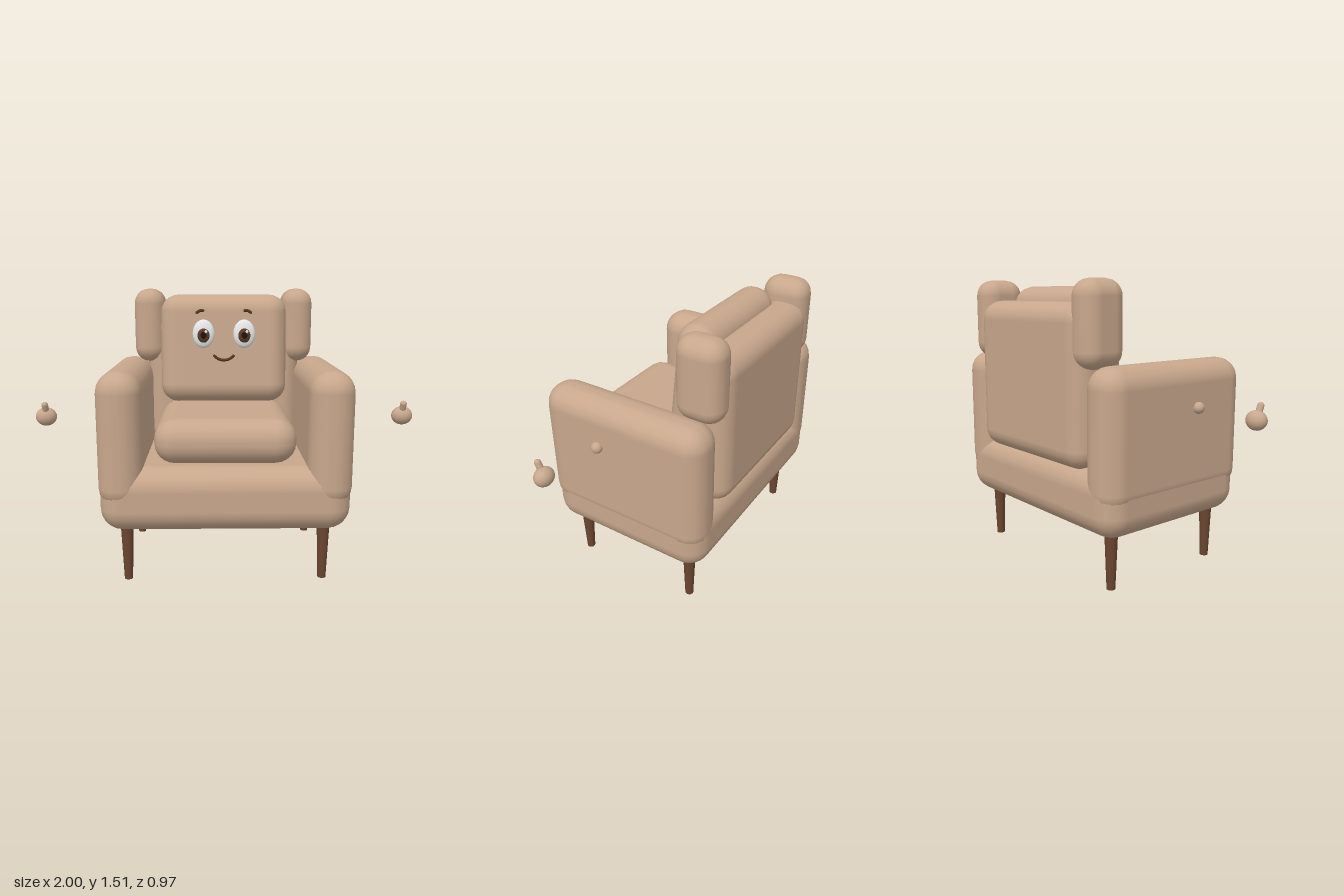
import * as THREE from 'three';
import { RoundedBoxGeometry } from 'three/addons/geometries/RoundedBoxGeometry.js';

function material(name, color) {
  const m = new THREE.MeshStandardMaterial({ color });
  m.name = name;
  return m;
}

export function createModel() {
  const fabric = material('tan fabric', 0xc8a78c);
  const wood = material('brown wood', 0x6b4630);
  const white = material('eye white', 0xe8ecec);
  const brown = material('dark brown', 0x5c3a25);
  const black = material('pupil black', 0x1e130d);

  const chair = new THREE.Group();
  chair.name = 'armchair';

  function add(parent, name, geometry, mat, x = 0, y = 0, z = 0) {
    const mesh = new THREE.Mesh(geometry, mat);
    mesh.name = name;
    mesh.position.set(x, y, z);
    parent.add(mesh);
    return mesh;
  }

  // Upholstered block given by its limits on each axis
  function pad(name, [x0, x1], [y0, y1], [z0, z1], radius) {
    const geometry = new RoundedBoxGeometry(x1 - x0, y1 - y0, z1 - z0, 3, radius);
    return add(chair, name, geometry, fabric, (x0 + x1) / 2, (y0 + y1) / 2, (z0 + z1) / 2);
  }

  function ball(parent, name, mat, [rx, ry, rz], x, y, z) {
    const mesh = add(parent, name, new THREE.SphereGeometry(1, 24, 16), mat, x, y, z);
    mesh.scale.set(rx, ry, rz);
    return mesh;
  }

  // Body
  pad('base', [-0.65, 0.65], [0.28, 0.62], [-0.46, 0.475], 0.12);
  pad('seatCushion', [-0.365, 0.365], [0.635, 0.868], [-0.3, 0.47], 0.11);
  pad('backrest', [-0.45, 0.45], [0.59, 1.4], [-0.485, -0.25], 0.1);

  // Parts mirrored on both sides
  for (const side of [-1, 1]) {
    const label = side > 0 ? 'left' : 'right';
    const span = (a, b) => (side > 0 ? [a, b] : [-b, -a]);
    pad(label + 'Armrest', span(0.42, 0.654), [0.405, 1.11], [-0.46, 0.482], 0.11);
    pad(label + 'Wing', span(0.342, 0.522), [1.085, 1.51], [-0.475, -0.225], 0.085);

    for (const [end, z] of [['Front', 0.36], ['Back', -0.33]]) {
      add(chair, label + end + 'Leg', new THREE.CylinderGeometry(0.034, 0.022, 0.3, 16),
        wood, side * 0.515, 0.15, z);
    }

    // Shoulder knob and floating hand with its thumb
    ball(chair, label + 'Shoulder', fabric, [0.03, 0.03, 0.03], side * 0.662, 0.88, 0.115);
    const hand = new THREE.Group();
    hand.name = label + 'Hand';
    hand.position.set(side * 0.945, 0.848, 0.203);
    chair.add(hand);
    ball(hand, 'palm', fabric, [0.055, 0.049, 0.046], 0, 0, 0);
    const thumb = add(hand, 'thumb', new THREE.CapsuleGeometry(0.017, 0.055, 6, 14),
      fabric, side * -0.003, 0.042, 0.022);
    thumb.rotation.x = 0.4;
  }

  // Leaning head cushion carrying the face
  const head = new THREE.Group();
  head.name = 'headCushion';
  head.position.set(0, 1.17, -0.207);
  head.rotation.x = -0.1;
  chair.add(head);
  add(head, 'cushion', new RoundedBoxGeometry(0.722, 0.615, 0.21, 3, 0.1), fabric);
  const face = 0.105;

  function line(name, points, radius) {
    const curve = new THREE.CatmullRomCurve3(
      points.map(([x, y]) => new THREE.Vector3(x, y, face + 0.003)));
    add(head, name, new THREE.TubeGeometry(curve, 20, radius, 8), brown);
    for (const [x, y] of [points[0], points[points.length - 1]]) {
      ball(head, name + 'End', brown, [radius, radius, radius], x, y, face + 0.003);
    }
  }

  for (const side of [-1, 1]) {
    const label = side > 0 ? 'left' : 'right';
    const x = side * 0.115;
    ball(head, label + 'Eye', white, [0.062, 0.08, 0.026], x, 0.08, face);
    ball(head, label + 'Iris', brown, [0.035, 0.041, 0.018], x, 0.07, face + 0.018);
    ball(head, label + 'Pupil', black, [0.017, 0.02, 0.007], x, 0.07, face + 0.032);
    ball(head, label + 'Glint', white, [0.008, 0.009, 0.005], x + 0.014, 0.09, face + 0.033);
    line(label + 'Brow', [[side * 0.118, 0.21], [side * 0.135, 0.209], [side * 0.152, 0.199]], 0.008);
  }
  line('mouth', [[-0.054, -0.045], [-0.03, -0.062], [0, -0.068], [0.03, -0.062], [0.054, -0.045]], 0.008);

  return chair;
}
